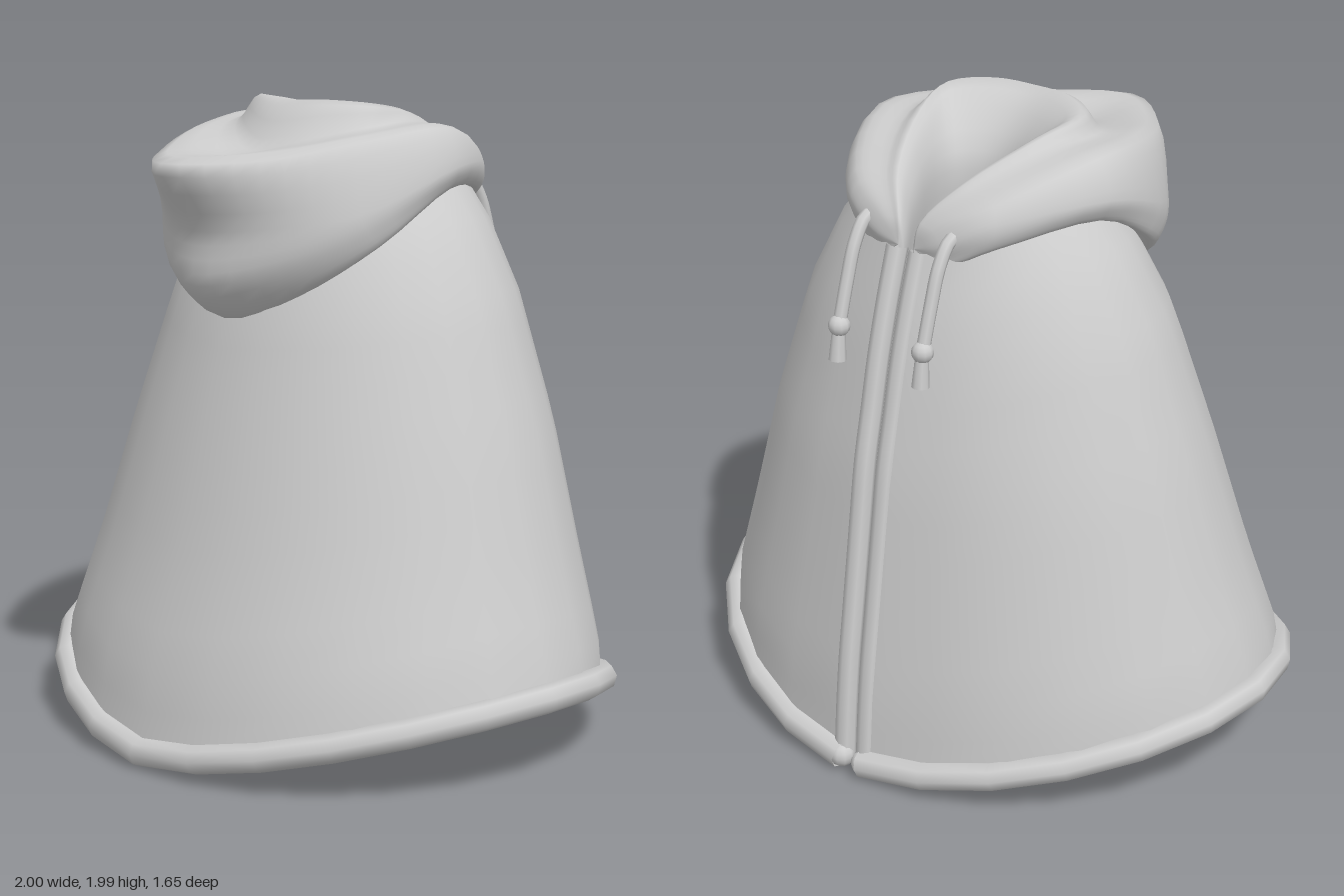
import * as THREE from 'three';

const V = (x, y, z) => new THREE.Vector3(x, y, z);
const cloth = new THREE.MeshStandardMaterial({ color: 0xcccccc, side: THREE.DoubleSide });
cloth.name = 'greyCloth';

function add(parent, name, geometry) {
  const mesh = new THREE.Mesh(geometry, cloth);
  mesh.name = name;
  parent.add(mesh);
  return mesh;
}

// Smooth surface over a grid of points, f(u, v) with u, v in 0..1
function surface(nu, nv, f) {
  const pos = [], index = [];
  for (let i = 0; i <= nu; i++)
    for (let j = 0; j <= nv; j++) pos.push(...f(i / nu, j / nv).toArray());
  for (let i = 0; i < nu; i++)
    for (let j = 0; j < nv; j++) {
      const a = i * (nv + 1) + j, b = a + nv + 1;
      index.push(a, a + 1, b, b, a + 1, b + 1);
    }
  const g = new THREE.BufferGeometry();
  g.setAttribute('position', new THREE.Float32BufferAttribute(pos, 3));
  g.setIndex(index);
  g.computeVertexNormals();
  return g;
}

const tube = (pts, r, n) =>
  new THREE.TubeGeometry(new THREE.CatmullRomCurve3(pts), n, r, 8, false);

// Cape outline by height: y, half width, front z, back z
const PROFILE = [
  [0, 0.97, 0.785, -0.785], [0.3, 0.955, 0.73, -0.76], [0.6, 0.855, 0.635, -0.715],
  [1, 0.735, 0.525, -0.655], [1.4, 0.595, 0.41, -0.565],
  [1.65, 0.455, 0.3, -0.485], [1.74, 0.37, 0.22, -0.44],
];
function outlineAt(y) {
  let k = 0;
  while (k < PROFILE.length - 2 && y > PROFILE[k + 1][0]) k++;
  const a = PROFILE[k], b = PROFILE[k + 1];
  const t = THREE.MathUtils.clamp((y - a[0]) / (b[0] - a[0]), 0, 1);
  return a.map((v, i) => v + (b[i] - v) * t);
}

// Point on the cape: u runs round from the back opening, v from hem to neck
function capePoint(u, v) {
  const raw = u * Math.PI * 2;
  const hemY = 0.045 + 0.225 * Math.pow(Math.abs(Math.sin(raw)), 1.5);
  const topY = 1.74 - 0.09 * Math.pow(Math.max(0, Math.cos(raw)), 6);
  const y = hemY + (topY - hemY) * v;
  const [, rx, zf, zb] = outlineAt(y);
  const gap = Math.asin(0.038 / rx);
  const th = gap + u * (Math.PI * 2 - 2 * gap);
  return V(rx * Math.sin(th), y, (zf + zb) / 2 - (zf - zb) / 2 * Math.cos(th));
}

// Hood folds: each line runs from the back opening round the left side to the front centre
const line = (...pts) => pts.map((p) => V(...p));
const tuck = line([.11, 1.62, -.46], [.27, 1.69, -.39], [.43, 1.73, -.1], [.42, 1.58, .18], [.25, 1.43, .35], [0, 1.34, .42]);
const bulge = line([.13, 1.69, -.475], [.28, 1.77, -.41], [.47, 1.8, -.1], [.42, 1.68, .26], [.25, 1.64, .46], [0, 1.62, .55]);
const rim = line([.1, 1.73, -.47], [.26, 1.82, -.39], [.415, 1.915, -.1], [.37, 1.885, .22], [.23, 1.84, .48], [0, 1.83, .67]);
const crest = line([.04, 1.74, -.46], [.12, 1.85, -.36], [.22, 1.95, -.13], [.25, 1.985, .04], [.14, 1.995, .13], [0, 1.99, .16]);
const neck = line([.02, 1.68, -.46], [.07, 1.76, -.35], [.125, 1.81, -.19], [.12, 1.82, -.09], [.06, 1.82, -.035], [0, 1.82, -.02]);
// In-between folds follow their neighbours
const underside = tuck.map((p) => V(p.x * 0.85, p.y + 0.02, p.z * 0.88));
const belly = tuck.map((p, i) => p.clone().lerp(bulge[i], 0.4).multiply(V(1.02, 1, 1 + 0.03 * i)));
const valley = rim.map((p, i) => p.clone().lerp(crest[i], 0.7).add(V(0, -0.004 * i * i, 0)));
const neckBase = neck.map((p) => V(p.x, 1.58, p.z));

// All folds gather to one point beside the opening
const folds = [underside, tuck, belly, bulge, rim, valley, crest, neck, neckBase].map((fold) => {
  const half = [V(0.03, 1.66, -0.475), ...fold];
  const mirrored = half.slice(0, -1).reverse().map((p) => V(-p.x, p.y, p.z));
  return new THREE.CatmullRomCurve3([...half, ...mirrored]);
});

// Point on the hood: u runs round like the cape, v crosses the folds from outside to inside
function hoodPoint(u, v) {
  return new THREE.CatmullRomCurve3(folds.map((f) => f.getPoint(u))).getPoint(v);
}

export function createModel() {
  const model = new THREE.Group();
  model.name = 'hoodedCape';

  add(model, 'cape', surface(24, 14, capePoint));

  // Rolled hem
  const hem = [];
  for (let i = 0; i <= 24; i++) hem.push(capePoint(i / 24, 0));
  add(model, 'hem', tube(hem, 0.045, 24));

  add(model, 'hood', surface(48, 32, hoodPoint));

  // Opening trim and drawstrings, one per side
  for (const s of [1, -1]) {
    const side = new THREE.Group();
    side.name = s > 0 ? 'leftFastening' : 'rightFastening';
    model.add(side);

    const edge = [];
    for (let i = 0; i <= 10; i++) {
      const p = capePoint(0, i / 10);
      edge.push(V(s * 0.043, p.y, p.z + 0.02));
    }
    add(side, 'openingTrim', tube(edge, 0.034, 30));
    const corner = add(side, 'hemCorner', new THREE.SphereGeometry(0.042, 10, 8));
    corner.position.set(s * 0.045, 0.045, -0.775);

    const x = s * 0.16;
    add(side, 'drawstring', tube(line(
      [x, 1.72, -0.41], [x, 1.715, -0.47], [x, 1.65, -0.52],
      [x, 1.54, -0.56], [x, 1.41, -0.6],
    ), 0.021, 16));
    const knot = add(side, 'drawstringKnot', new THREE.SphereGeometry(0.034, 10, 8));
    knot.position.set(x, 1.41, -0.6);
    const end = add(side, 'drawstringEnd', new THREE.CylinderGeometry(0.02, 0.027, 0.1, 8));
    end.position.set(x, 1.352, -0.607);
    end.rotation.x = 0.1;
  }
  return model;
}
